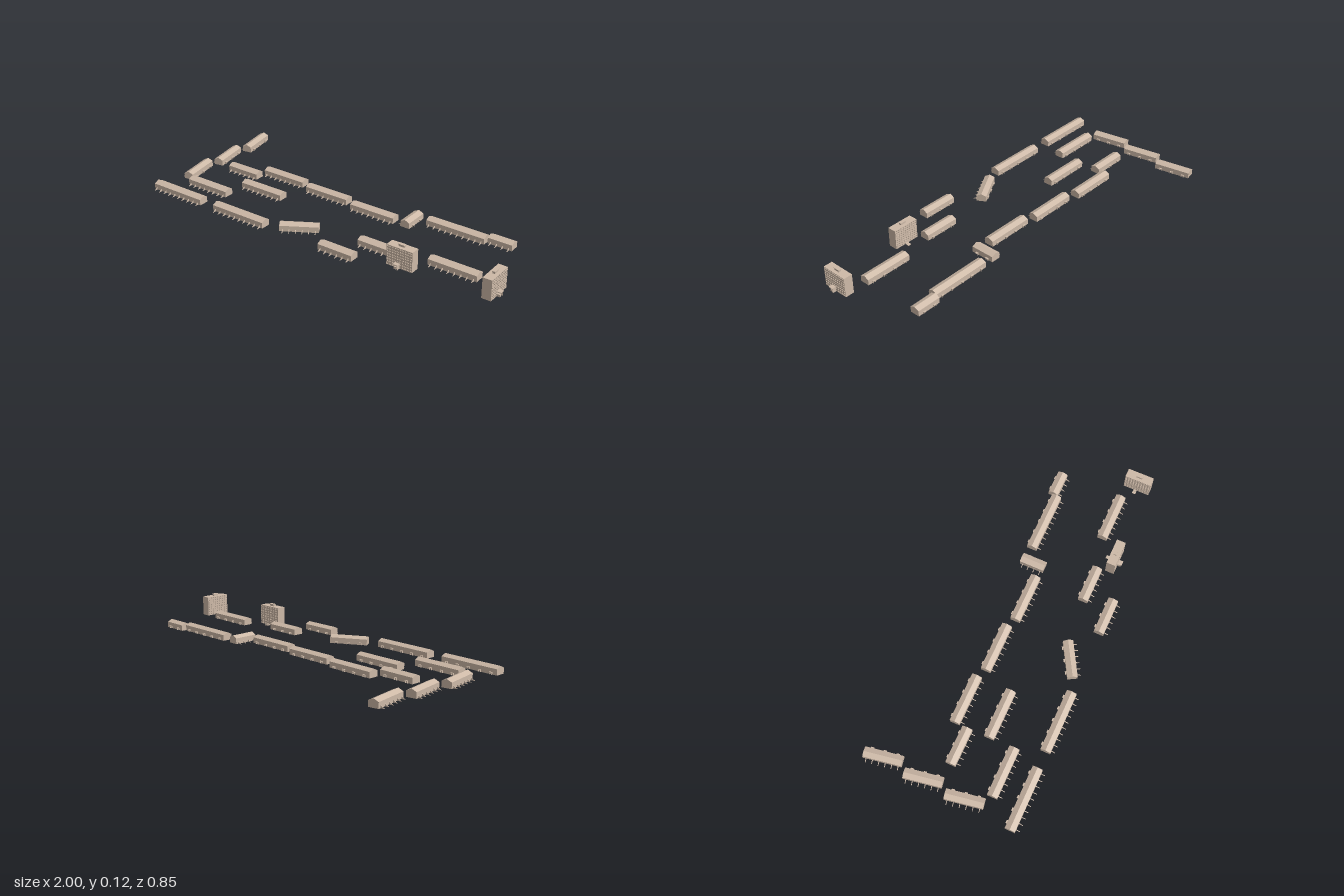
import * as THREE from 'three';

const stone = new THREE.MeshStandardMaterial({ color: 0xcdb9a7, side: THREE.DoubleSide });
stone.name = 'sandstone';

const BAY = 0.0325;   // width of one terraced house
const HALF = 0.026;   // half the depth of a terrace
const EAVES = 0.03, RIDGE = 0.042;

function add(parent, name, geometry, x = 0, y = 0, z = 0) {
  const mesh = new THREE.Mesh(geometry, stone);
  mesh.name = name;
  mesh.position.set(x, y, z);
  parent.add(mesh);
  return mesh;
}

// Box given by its size and the centre of its underside
function block(parent, name, w, h, d, x, y, z) {
  return add(parent, name, new THREE.BoxGeometry(w, h, d), x, y + h / 2, z);
}

// Hollow gabled shell, open underneath
function shellGeometry(length) {
  const profile = [[HALF, 0], [HALF, EAVES], [0, RIDGE], [-HALF, EAVES], [-HALF, 0]];
  const l = length / 2, pos = [];
  const at = (s, i) => [s * l, profile[i][1], profile[i][0]];
  for (let i = 0; i < 4; i++) {
    pos.push(...at(-1, i), ...at(1, i), ...at(1, i + 1));
    pos.push(...at(-1, i), ...at(1, i + 1), ...at(-1, i + 1));
  }
  for (let i = 1; i < 4; i++) {
    pos.push(...at(1, 0), ...at(1, i + 1), ...at(1, i));
    pos.push(...at(-1, 0), ...at(-1, i), ...at(-1, i + 1));
  }
  // put the two end fans the right way round
  for (let k = 8 * 9; k < pos.length; k += 9) {
    for (let c = 0; c < 3; c++) [pos[k + 3 + c], pos[k + 6 + c]] = [pos[k + 6 + c], pos[k + 3 + c]];
  }
  const g = new THREE.BufferGeometry();
  g.setAttribute('position', new THREE.Float32BufferAttribute(pos, 3));
  g.computeVertexNormals();
  return g;
}

// Sloping garden wall, tall at the house and falling to the ground
const finShape = new THREE.Shape([
  new THREE.Vector2(0, 0), new THREE.Vector2(0.02, 0), new THREE.Vector2(0, 0.012),
]);
const finGeometry = new THREE.ExtrudeGeometry(finShape, { depth: 0.003, bevelEnabled: false });
finGeometry.translate(0, 0, -0.0015).rotateY(-Math.PI / 2);

function terrace(houses, x, z, degrees = 0) {
  const row = new THREE.Group();
  row.name = 'terrace';
  const length = houses * BAY;
  add(row, 'gabledShell', shellGeometry(length));
  for (let i = 0; i < houses; i++) {
    add(row, 'gardenWall', finGeometry, -length / 2 + (i + 0.5) * BAY, 0, HALF);
  }
  // one shared porch behind every pair of houses
  for (let i = 0; i < houses / 2; i++) {
    const px = -length / 2 + (2 * i + 1) * BAY;
    block(row, 'porchRoof', 0.016, 0.002, 0.008, px, 0.01, -HALF - 0.004);
    for (const s of [-1, 1]) block(row, 'porchSide', 0.002, 0.01, 0.006, px + s * 0.006, 0, -HALF - 0.003);
  }
  row.position.set(x, 0, z);
  row.rotation.y = THREE.MathUtils.degToRad(degrees);
  return row;
}

const TW = 0.141, TH = 0.106, TD = 0.048;   // tower size
const RELIEF = 0.004;

// Facade plate with a grid of window openings
function facadeGeometry() {
  const rect = (Type, x0, y0, x1, y1) => new Type([
    new THREE.Vector2(x0, y0), new THREE.Vector2(x1, y0),
    new THREE.Vector2(x1, y1), new THREE.Vector2(x0, y1),
  ]);
  const shape = rect(THREE.Shape, -TW / 2, 0, TW / 2, TH);
  const cols = 10, floors = 8, cw = TW / cols, fh = TH / floors;
  for (let c = 0; c < cols; c++) {
    for (let f = 0; f < floors; f++) {
      if (f === 0 && (c === 4 || c === 5)) continue;   // entrance bay
      const x = -TW / 2 + c * cw, y = f * fh;
      shape.holes.push(rect(THREE.Path, x + cw * 0.2, y + fh * 0.3, x + cw * 0.8, y + fh * 0.82));
    }
  }
  return new THREE.ExtrudeGeometry(shape, { depth: RELIEF, bevelEnabled: false });
}

function tower(x, z, degrees, facade) {
  const g = new THREE.Group();
  g.name = 'tower';
  // core without its underside
  const core = new THREE.BoxGeometry(TW, TH, TD - 2 * RELIEF);
  const index = Array.from(core.index.array);
  index.splice(18, 6);
  core.setIndex(index);
  core.clearGroups();
  add(g, 'towerCore', core, 0, TH / 2, 0);
  add(g, 'frontFacade', facade, 0, 0, TD / 2 - RELIEF);
  add(g, 'backFacade', facade, 0, 0, -TD / 2 + RELIEF).rotation.y = Math.PI;
  // lift housing with an overhanging cap
  block(g, 'liftHousing', 0.031, 0.009, 0.013, 0, TH, 0);
  block(g, 'liftHousingCap', 0.036, 0.003, 0.017, 0, TH + 0.009, 0);
  // front entrance
  block(g, 'entranceCanopy', 0.026, 0.003, 0.022, -0.009, 0.024, TD / 2 + 0.011);
  block(g, 'entranceWall', 0.003, 0.024, 0.02, 0.001, 0, TD / 2 + 0.01);
  block(g, 'entranceStore', 0.012, 0.012, 0.016, -0.013, 0, TD / 2 + 0.008);
  // rear steps
  block(g, 'rearStep', 0.018, 0.003, 0.024, 0.004, 0, -TD / 2 - 0.012);
  block(g, 'rearUpperStep', 0.018, 0.003, 0.01, 0.004, 0.003, -TD / 2 - 0.005);
  g.position.set(x, 0, z);
  g.rotation.y = THREE.MathUtils.degToRad(degrees);
  return g;
}

export function createModel() {
  const model = new THREE.Group();
  model.name = 'housingEstate';

  // houses in the row, x, z, turn
  const rows = [
    [6, -0.92, -0.326, -80], [6, -0.933, -0.104, -80], [6, -0.943, 0.12, -80],
    [6, -0.722, -0.015], [8, -0.495, -0.085], [8, -0.19, -0.06], [8, 0.113, -0.036],
    [4, 0.31, -0.08, -90], [10, 0.546, -0.122], [4, 0.78, -0.145],
    [8, -0.495, 0.1], [8, -0.75, 0.235], [6, 0.32, 0.235], [8, 0.717, 0.19],
    [10, -0.827, 0.378], [10, -0.412, 0.378], [6, 0.19, 0.378],
    [6, -0.095, 0.303, 30],
  ];
  for (const r of rows) model.add(terrace(...r));

  const facade = facadeGeometry();
  model.add(tower(0.5, 0.298, 0, facade));
  model.add(tower(0.95, 0.246, 90, facade));
  return model;
}
